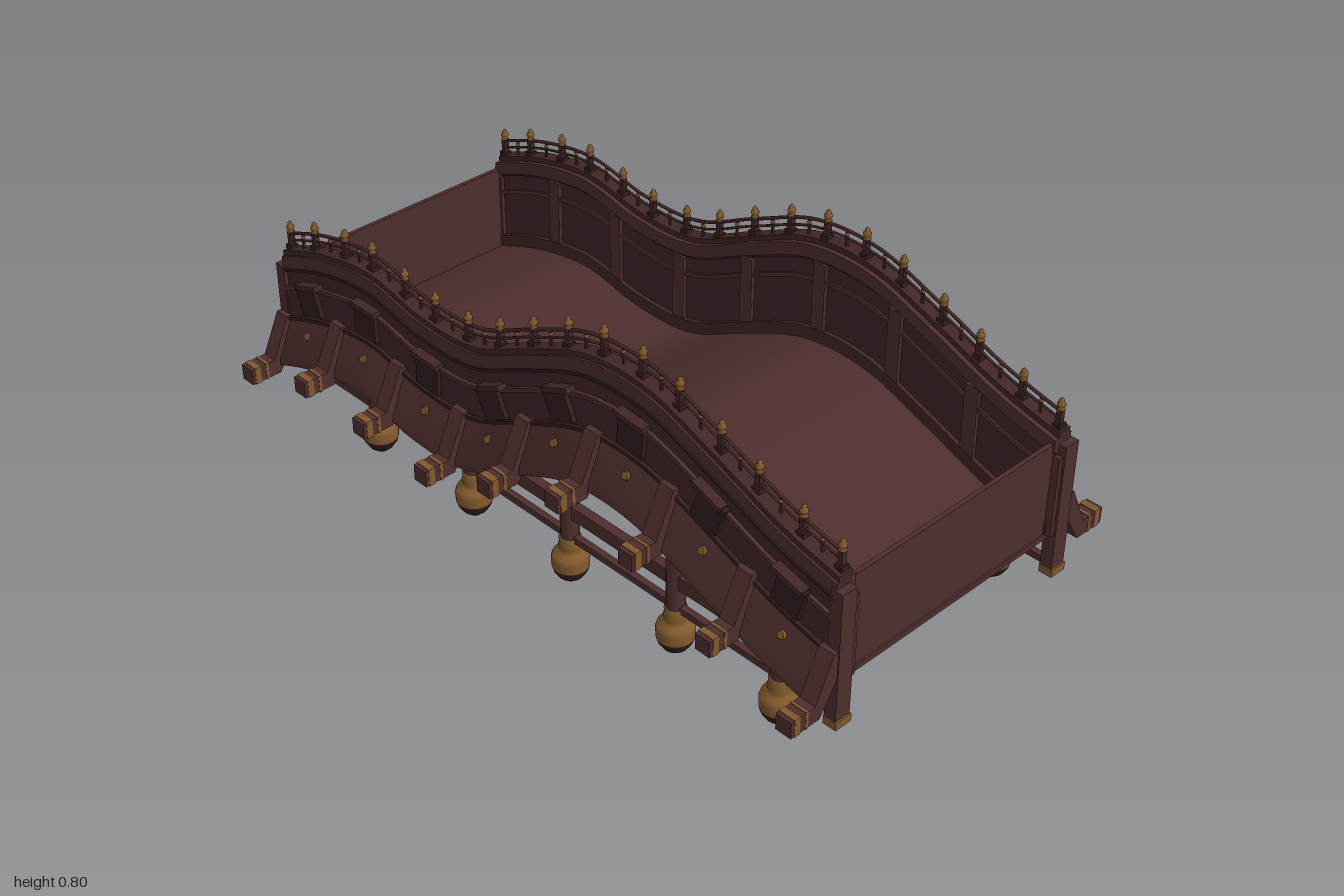
import * as THREE from 'three';
import { toCreasedNormals } from 'three/addons/utils/BufferGeometryUtils.js';

const mat = (name, color) => Object.assign(new THREE.MeshStandardMaterial({ color }), { name });
const wood = mat('maroon wood', 0x4e2e2e);
const shade = mat('dark maroon wood', 0x412627);
const dark = mat('deep brown wood', 0x331e1e);
const gold = mat('old gold', 0x80592c);

// Height of the wall top along the length, at steps of 0.2 in x
const heights = [0.465, 0.537, 0.567, 0.532, 0.54, 0.63, 0.712, 0.717, 0.65, 0.572, 0.52];
const wave = new THREE.CatmullRomCurve3(
  heights.map((y, i) => new THREE.Vector3(-1 + 0.2 * i, y, 0)), false, 'catmullrom', 0.5);
const top = x => wave.getPoint(THREE.MathUtils.clamp((x + 1) / 2, 0, 1)).y;
const slope = x => Math.atan2(top(x + 0.02) - top(x - 0.02), 0.04);

export function createModel() {
  const model = new THREE.Group();

  const add = (name, geometry, material, x = 0, y = 0, z = 0) => {
    const mesh = new THREE.Mesh(geometry, material);
    mesh.name = name;
    mesh.position.set(x, y, z);
    model.add(mesh);
    return mesh;
  };
  const box = (name, m, w, h, d, x, y, z) => add(name, new THREE.BoxGeometry(w, h, d), m, x, y, z);

  // Sweeps a section of [z, offset from wall top] along the wave from x0 to x1
  const sweep = (name, m, section, s, x0 = -0.975, x1 = 0.975, steps = 56) => {
    const shape = new THREE.Shape(section.map(([z, dy]) => new THREE.Vector2(-z * s, dy)));
    const raw = new THREE.ExtrudeGeometry(shape, { depth: x1 - x0, steps, bevelEnabled: false });
    raw.rotateY(Math.PI / 2).translate(x0, 0, 0);
    const p = raw.attributes.position;
    // Short pieces stay level, long ones follow the wave
    for (let i = 0; i < p.count; i++) {
      p.setY(i, p.getY(i) + top(steps > 1 ? p.getX(i) : (x0 + x1) / 2));
    }
    raw.computeVertexNormals();
    return add(name, toCreasedNormals(raw, 0.4), m);
  };
  const rect = (z0, z1, y0, y1) => [[z0, y0], [z1, y0], [z1, y1], [z0, y1]];

  // Curved deck and end panels
  sweep('deck', wood, rect(-0.36, 0.36, -0.3, -0.285), 1);
  box('rightEndPanel', wood, 0.012, 0.27, 0.72, -0.972, 0.305, 0);
  box('leftEndPanel', wood, 0.012, 0.27, 0.72, 0.965, 0.365, 0);

  // Shared profiles for turned parts
  const lathe = (pts, seg) => new THREE.LatheGeometry(pts.map(p => new THREE.Vector2(...p)), seg);
  const bulbTop = lathe([[0.047, 0.055], [0.048, 0.08], [0.044, 0.093], [0.03, 0.1], [0.028, 0.11],
    [0.03, 0.118], [0.027, 0.125], [0.028, 0.14], [0.022, 0.142]], 20);
  const bulbTip = lathe([[0, 0], [0.013, 0.009], [0.032, 0.025], [0.043, 0.042], [0.047, 0.055]], 20);
  const finial = lathe([[0.006, 0], [0.011, 0.004], [0.006, 0.009], [0.011, 0.015], [0.01, 0.021],
    [0.005, 0.025], [0.007, 0.029], [0, 0.036]], 10);
  const bead = new THREE.SphereGeometry(0.006, 8, 6);

  const brackets = Array.from({ length: 9 }, (_, i) => -0.977 + i * 0.2435);
  const bays = brackets.slice(1).map((x, i) => (x + brackets[i]) / 2);
  const railPosts = [...bays, ...brackets.map(x => x * 0.988)].sort((a, b) => a - b);

  for (const s of [1, -1]) {
    // Side wall with mouldings and flared skirt
    sweep('sideWall', shade, rect(0.35, 0.39, -0.3, 0), s);
    sweep('wallCap', wood, rect(0.337, 0.396, -0.052, -0.015), s);
    sweep('capLip', dark, rect(0.345, 0.4, -0.06, -0.052), s);
    sweep('middleMoulding', wood, rect(0.345, 0.4, -0.118, -0.106), s);
    sweep('lowerBand', shade, rect(0.385, 0.397, -0.2, -0.118), s);
    sweep('skirtMoulding', dark, rect(0.385, 0.408, -0.207, -0.197), s);
    sweep('innerBase', shade, rect(0.338, 0.352, -0.288, -0.25), s);
    sweep('skirt', wood, [[0.385, -0.207], [0.404, -0.207], [0.447, -0.312], [0.45, -0.33],
      [0.435, -0.33], [0.385, -0.25]], s);

    // Sloping brackets with banded feet, and pilasters inside
    for (const x of brackets) {
      const piece = (name, m, pts, half) => sweep(name, m, pts, s, x - half, x + half, 1);
      piece('bracket', wood, [[0.385, -0.187], [0.413, -0.187], [0.466, -0.3], [0.54, -0.3],
        [0.54, -0.345], [0.45, -0.345], [0.385, -0.24]], 0.0225);
      piece('footBand', gold, rect(0.487, 0.495, -0.347, -0.298), 0.0235);
      piece('footBand', gold, rect(0.512, 0.53, -0.347, -0.298), 0.0235);
      piece('innerPilaster', wood, rect(0.34, 0.352, -0.285, -0.06), 0.02);
    }

    // Hooded plaques and gold studs between the brackets
    for (const x of bays) {
      const y = top(x), a = slope(x);
      box('plaque', dark, 0.082, 0.085, 0.022, x, y - 0.145, s * 0.398).rotation.z = a;
      box('plaqueHood', shade, 0.092, 0.014, 0.03, x, y - 0.1, s * 0.402).rotation.z = a;
      const stud = add('skirtStud', new THREE.CylinderGeometry(0.01, 0.012, 0.008, 8), gold,
        x, y - 0.245, s * 0.422);
      stud.rotation.x = s * 1.18;
    }

    // Railing with posts, finials and beads
    for (const [dy, r] of [[0.022, 0.0035], [0.043, 0.0045]]) {
      const pts = Array.from({ length: 40 }, (_, i) => {
        const x = -0.965 + i * 1.93 / 39;
        return new THREE.Vector3(x, top(x) + dy, s * 0.367);
      });
      add('handrail', new THREE.TubeGeometry(new THREE.CatmullRomCurve3(pts), 90, r, 6), shade);
    }
    railPosts.forEach((x, i) => {
      box('railPost', shade, 0.014, 0.056, 0.014, x, top(x) + 0.02, s * 0.367);
      box('railPostBase', dark, 0.022, 0.014, 0.024, x, top(x) + 0.004, s * 0.367);
      add('finial', finial, gold, x, top(x) + 0.045, s * 0.367);
      if (i) {
        const mid = (x + railPosts[i - 1]) / 2;
        add('railBead', bead, gold, mid, top(mid) + 0.032, s * 0.367);
        box('railBaluster', shade, 0.006, 0.045, 0.006, mid, top(mid) + 0.02, s * 0.367);
      }
    });

    // Columns hanging in pointed bulbs
    for (const x of [-0.627, -0.247, 0.115, 0.478, 0.81]) {
      const h = top(x) - 0.27 - 0.13;
      add('column', new THREE.CylinderGeometry(0.024, 0.024, h, 16), wood, x, 0.13 + h / 2, s * 0.375);
      add('bulbTop', bulbTop, gold, x, 0, s * 0.375);
      add('bulbTip', bulbTip, dark, x, 0, s * 0.375);
    }

    // Long tie beams and corner posts
    box('lowerBeam', wood, 1.95, 0.018, 0.018, 0, 0.144, s * 0.375);
    box('upperBeam', wood, 1.06, 0.038, 0.026, 0.282, 0.226, s * 0.375);
    for (const [x, y1] of [[-0.983, 0.43], [0.979, 0.495]]) {
      box('cornerPost', wood, 0.034, y1 - 0.14, 0.046, x, (y1 + 0.14) / 2, s * 0.377);
      box('cornerPostFoot', gold, 0.038, 0.022, 0.05, x < 0 ? -0.981 : 0.981, 0.131, s * 0.377);
    }
  }
  return model;
}
